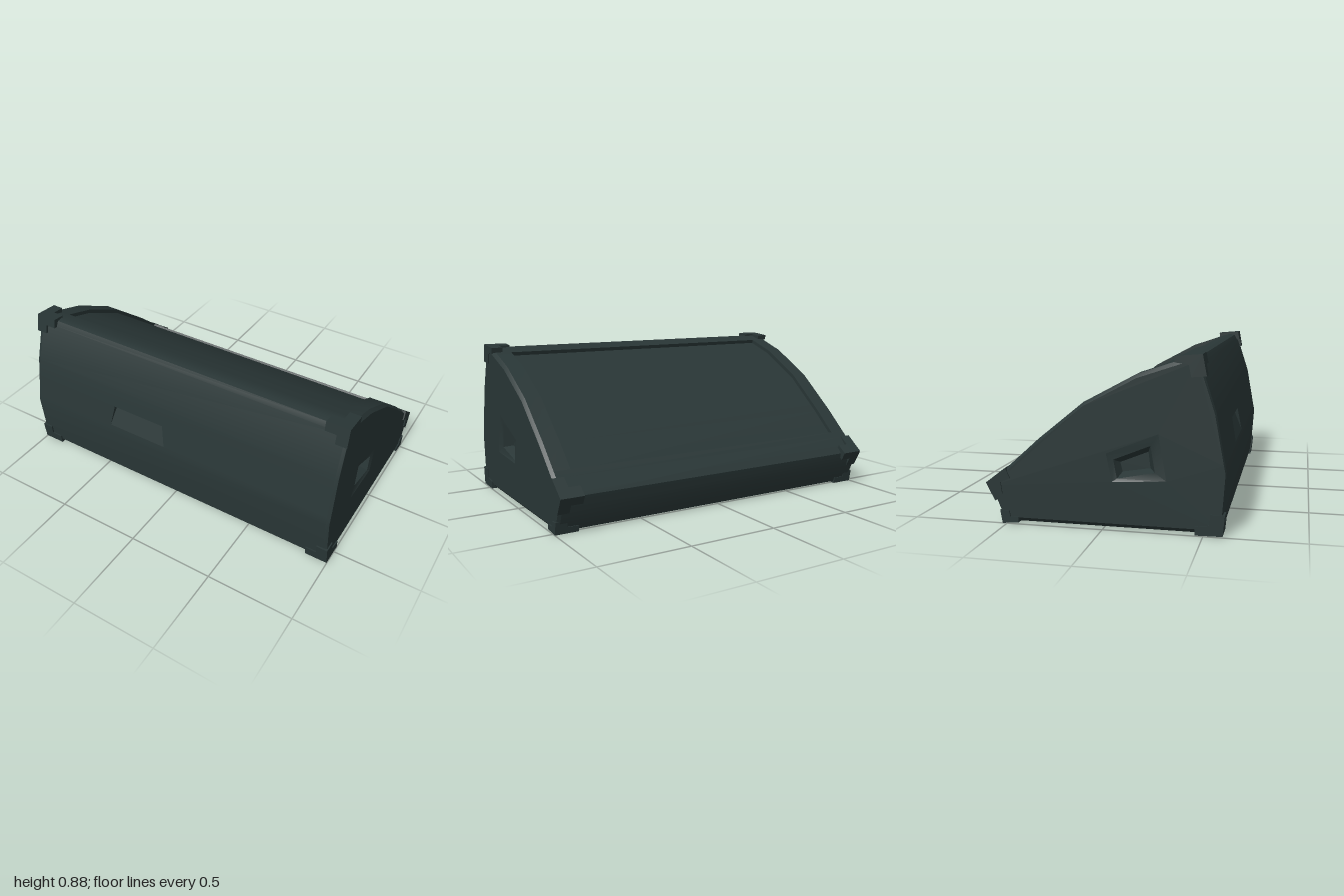
import * as THREE from 'three';
import { toCreasedNormals } from 'three/addons/utils/BufferGeometryUtils.js';

const RIM_X = 0.975, SIDE_X = 0.993, GRILLE_X = 0.885, GRILLE_DEPTH = 0.022;

// Cabinet cross-section as [z, y], from the bottom front edge up, over and down the back
const PROFILE = [
  [0.575, 0.012], [0.59, 0.03], [0.609, 0.31], [0.6, 0.355], [0.576, 0.485], [0.555, 0.6],
  [0.48, 0.83], [0.465, 0.858], [0.43, 0.863], [0.35, 0.836], [0.17, 0.775], [-0.095, 0.632],
  [-0.33, 0.44], [-0.47, 0.313], [-0.5, 0.285], [-0.575, 0.2], [-0.56, 0.125], [-0.515, 0.012],
];
const POCKET_ROW = 3, GRILLE_START = 9, GRILLE_END = 13;

// Outward normal at a profile point
function normalAt(i) {
  const n = PROFILE.length;
  const a = PROFILE[(i + n - 1) % n], b = PROFILE[(i + 1) % n];
  const dz = b[0] - a[0], dy = b[1] - a[1], l = Math.hypot(dz, dy);
  return [dy / l, -dz / l];
}

// Side face outline, pulled in mostly at the top and bottom
const SIDE = PROFILE.map(([z, y], i) => {
  const [nz, ny] = normalAt(i);
  return [z - 0.005 * nz, y - 0.02 * ny];
});

// Collects quads given as four [x, y, z] corners
function quadMesh(name, material, build) {
  const pos = [];
  build((a, b, c, d) => pos.push(...a, ...b, ...c, ...a, ...c, ...d));
  const g = new THREE.BufferGeometry();
  g.setAttribute('position', new THREE.Float32BufferAttribute(pos, 3));
  const mesh = new THREE.Mesh(toCreasedNormals(g, 0.5), material);
  mesh.name = name;
  return mesh;
}

const at = (x, [z, y]) => [x, y, z];
const toVec = ([z, y]) => new THREE.Vector2(-z, y);

export function createModel() {
  const model = new THREE.Group();
  model.name = 'stageMonitor';
  const paint = new THREE.MeshStandardMaterial({ color: 0x293636, side: THREE.DoubleSide });
  paint.name = 'dark cabinet paint';

  // Wrapped cabinet skin, left open at the front pocket and the grille
  const pocketTop = [-0.405, -0.07], pocketBottom = [-0.43, -0.05];
  model.add(quadMesh('cabinetShell', paint, (quad) => {
    const strip = (p, q, a0, b0, a1 = a0, b1 = b0) =>
      quad(at(a0, p), at(b0, p), at(b1, q), at(a1, q));
    PROFILE.forEach((p, i) => {
      const q = PROFILE[(i + 1) % PROFILE.length];
      if (i === POCKET_ROW) {
        strip(p, q, -RIM_X, pocketBottom[0], -RIM_X, pocketTop[0]);
        strip(p, q, pocketBottom[1], RIM_X, pocketTop[1], RIM_X);
      } else if (i >= GRILLE_START && i < GRILLE_END) {
        strip(p, q, -RIM_X, -GRILLE_X);
        strip(p, q, GRILLE_X, RIM_X);
      } else strip(p, q, -RIM_X, RIM_X);
    });
  }));

  // Sloping front pocket, deepest under its top edge
  model.add(quadMesh('frontPocket', paint, (quad) => {
    const low = PROFILE[POCKET_ROW], high = PROFILE[POCKET_ROW + 1], deep = [0.553, 0.476];
    const [l0, r0] = pocketBottom, [l1, r1] = pocketTop;
    quad(at(l0, low), at(r0, low), at(r1, deep), at(l1, deep));
    quad(at(l1, deep), at(r1, deep), at(r1, high), at(l1, high));
    quad(at(l0, low), at(l1, deep), at(l1, high), at(l0, low));
    quad(at(r0, low), at(r1, high), at(r1, deep), at(r0, low));
  }));

  // Curved grille sunk into the sloping face
  const sunk = PROFILE.map(([z, y], i) => {
    const [nz, ny] = normalAt(i);
    return [z - GRILLE_DEPTH * nz, y - GRILLE_DEPTH * ny];
  });
  model.add(quadMesh('grille', paint, (quad) => {
    for (let i = GRILLE_START; i < GRILLE_END; i++)
      quad(at(-GRILLE_X, sunk[i]), at(GRILLE_X, sunk[i]), at(GRILLE_X, sunk[i + 1]), at(-GRILLE_X, sunk[i + 1]));
  }));
  model.add(quadMesh('grilleRecessWalls', paint, (quad) => {
    for (let i = GRILLE_START; i < GRILLE_END; i++) {
      quad(at(-GRILLE_X, PROFILE[i]), at(-GRILLE_X, sunk[i]), at(-GRILLE_X, sunk[i + 1]), at(-GRILLE_X, PROFILE[i + 1]));
      quad(at(GRILLE_X, sunk[i]), at(GRILLE_X, PROFILE[i]), at(GRILLE_X, PROFILE[i + 1]), at(GRILLE_X, sunk[i + 1]));
    }
    const s = GRILLE_START, e = GRILLE_END;
    quad(at(-GRILLE_X, PROFILE[s]), at(GRILLE_X, PROFILE[s]), at(GRILLE_X, sunk[s]), at(-GRILLE_X, sunk[s]));
    quad(at(-GRILLE_X, sunk[e]), at(GRILLE_X, sunk[e]), at(GRILLE_X, PROFILE[e]), at(-GRILLE_X, PROFILE[e]));
  }));

  // Handle cutout: shallow dish, opening and floor, as [z, y] corners
  const dish = [[0.28, 0.49], [0.02, 0.385], [0.05, 0.245], [0.32, 0.26]];
  const opening = [[0.24, 0.43], [0.055, 0.354], [0.073, 0.26], [0.262, 0.298]];
  const floor = [[0.22, 0.39], [0.078, 0.332], [0.09, 0.284], [0.23, 0.308]];

  // Corner guards: corner, arm along one edge, inner notch, arm along the other edge
  const guards = {
    topFrontGuard: [[0.49, 0.878], [0.352, 0.866], [0.358, 0.836], [0.425, 0.826], [0.437, 0.768], [0.51, 0.774]],
    topBackGuard: [[-0.608, 0.207], [-0.503, 0.288], [-0.479, 0.235], [-0.53, 0.213], [-0.522, 0.154], [-0.56, 0.115]],
    bottomFrontGuard: [[0.595, 0.005], [0.46, 0.003], [0.46, 0.046], [0.53, 0.055], [0.536, 0.11], [0.605, 0.11]],
    bottomBackGuard: [[-0.523, 0], [-0.437, 0.008], [-0.437, 0.036], [-0.48, 0.036], [-0.487, 0.066], [-0.535, 0.068]],
  };
  const mix = (a, b) => [(a[0] + b[0]) / 2, (a[1] + b[1]) / 2];

  function extrudeX(name, points, x0, x1) {
    const g = new THREE.ExtrudeGeometry(new THREE.Shape(points.map(toVec)), { depth: x1 - x0, bevelEnabled: false });
    g.rotateY(Math.PI / 2).translate(x0, 0, 0);
    const mesh = new THREE.Mesh(g, paint);
    mesh.name = name;
    return mesh;
  }

  for (const s of [1, -1]) {
    const side = new THREE.Group();
    side.name = s > 0 ? 'leftSide' : 'rightSide';
    side.scale.x = s;

    // Flat side with a hole for the handle
    const shape = new THREE.Shape(SIDE.map(toVec));
    shape.holes.push(new THREE.Path(dish.map(toVec)));
    const panel = new THREE.Mesh(new THREE.ShapeGeometry(shape).rotateY(Math.PI / 2).translate(SIDE_X, 0, 0), paint);
    panel.name = 'sidePanel';
    side.add(panel);

    // Chamfer between the skin and the side panel
    side.add(quadMesh('sideChamfer', paint, (quad) => {
      PROFILE.forEach((p, i) => {
        const j = (i + 1) % PROFILE.length;
        quad(at(RIM_X, p), at(SIDE_X, SIDE[i]), at(SIDE_X, SIDE[j]), at(RIM_X, PROFILE[j]));
      });
    }));

    // Recessed handle
    side.add(quadMesh('handleRecess', paint, (quad) => {
      const x1 = SIDE_X - 0.008, x2 = SIDE_X - 0.06;
      for (let i = 0; i < 4; i++) {
        const j = (i + 1) % 4;
        quad(at(SIDE_X, dish[j]), at(SIDE_X, dish[i]), at(x1, opening[i]), at(x1, opening[j]));
        quad(at(x1, opening[j]), at(x1, opening[i]), at(x2, floor[i]), at(x2, floor[j]));
      }
      quad(...[3, 2, 1, 0].map((i) => at(x2, floor[i])));
    }));

    // Guards: an L on the side plus a short arm along the long edge
    for (const [name, l] of Object.entries(guards)) {
      const guard = new THREE.Group();
      guard.name = name;
      guard.add(extrudeX('guardSide', l, 0.935, 1));
      guard.add(extrudeX('guardArm', [l[0], mix(l[0], l[1]), l[3], mix(l[0], l[5])], 0.87, 0.935));
      side.add(guard);
    }
    model.add(side);
  }
  return model;
}
